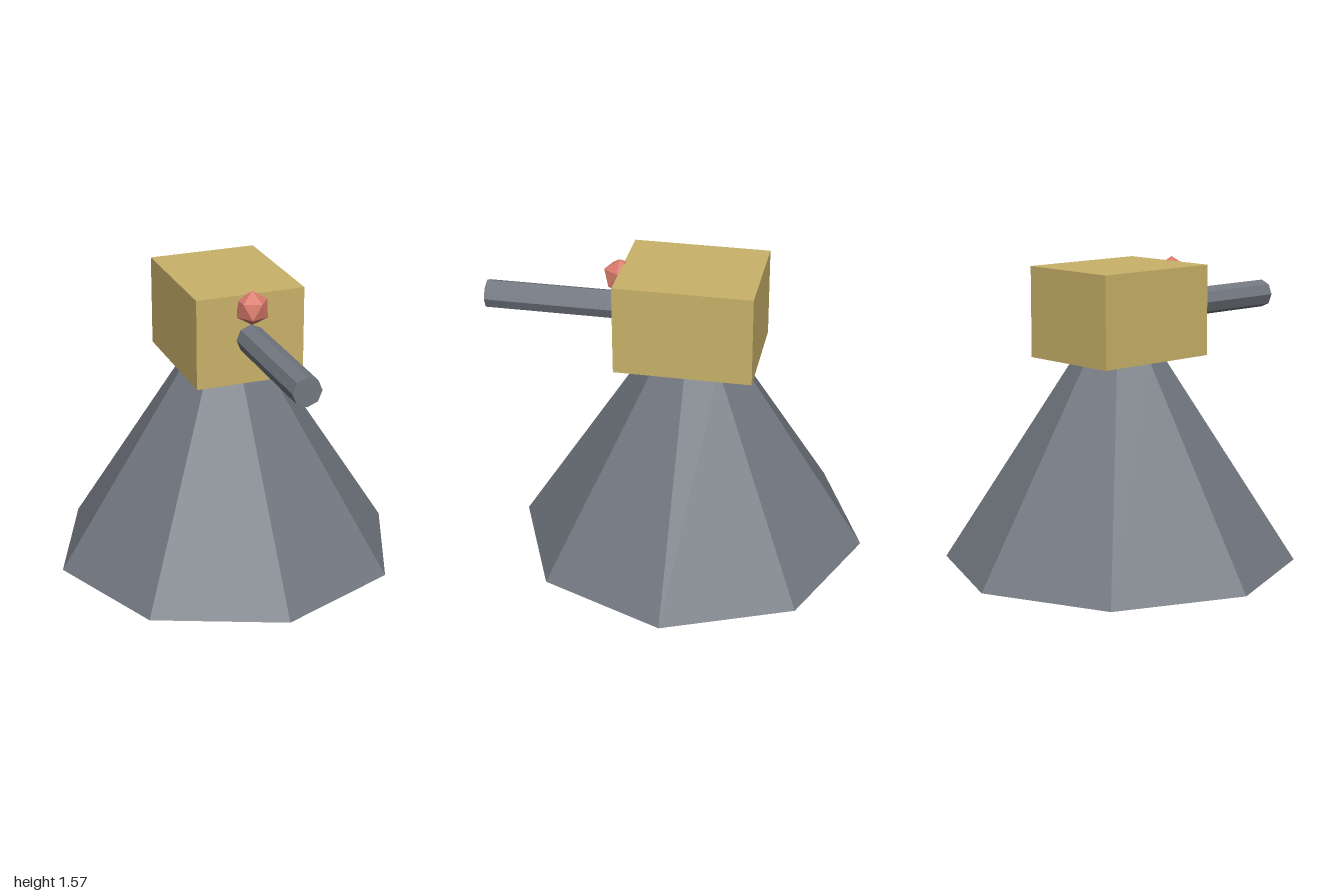
import * as THREE from 'three';

export function createModel() {
  const grey = new THREE.MeshStandardMaterial({ name: 'slate grey', color: 0x737881, flatShading: true });
  const gold = new THREE.MeshStandardMaterial({ name: 'sand yellow', color: 0xc9b269, flatShading: true });
  const red = new THREE.MeshStandardMaterial({ name: 'coral red', color: 0xd97a6c, flatShading: true });
  const model = new THREE.Group();
  model.name = 'sentryTurret';

  const add = (name, geometry, material, x, y, z) => {
    const mesh = new THREE.Mesh(geometry, material);
    mesh.name = name;
    mesh.position.set(x, y, z);
    model.add(mesh);
    return mesh;
  };

  // Eight-sided tapering base, corners on the axes
  add('base', new THREE.CylinderGeometry(0.23, 0.92, 1.08, 8), grey, 0, 0.54, -0.077);

  // Turret housing
  add('housing', new THREE.BoxGeometry(0.57, 0.47, 0.705), gold, 0, 1.315, -0.0735);

  // Eight-sided gun barrel pointing forward, slightly sunk into the housing
  const barrel = new THREE.CylinderGeometry(0.075, 0.075, 0.74, 8).rotateX(Math.PI / 2);
  add('barrel', barrel, grey, 0, 1.315, 0.63);

  // Faceted sensor above the barrel, turned so that a corner points straight up
  const tilt = Math.atan(2 / (1 + Math.sqrt(5)));
  add('sensor', new THREE.IcosahedronGeometry(0.089, 0).rotateZ(-tilt), red, 0, 1.483, 0.298);

  return model;
}
